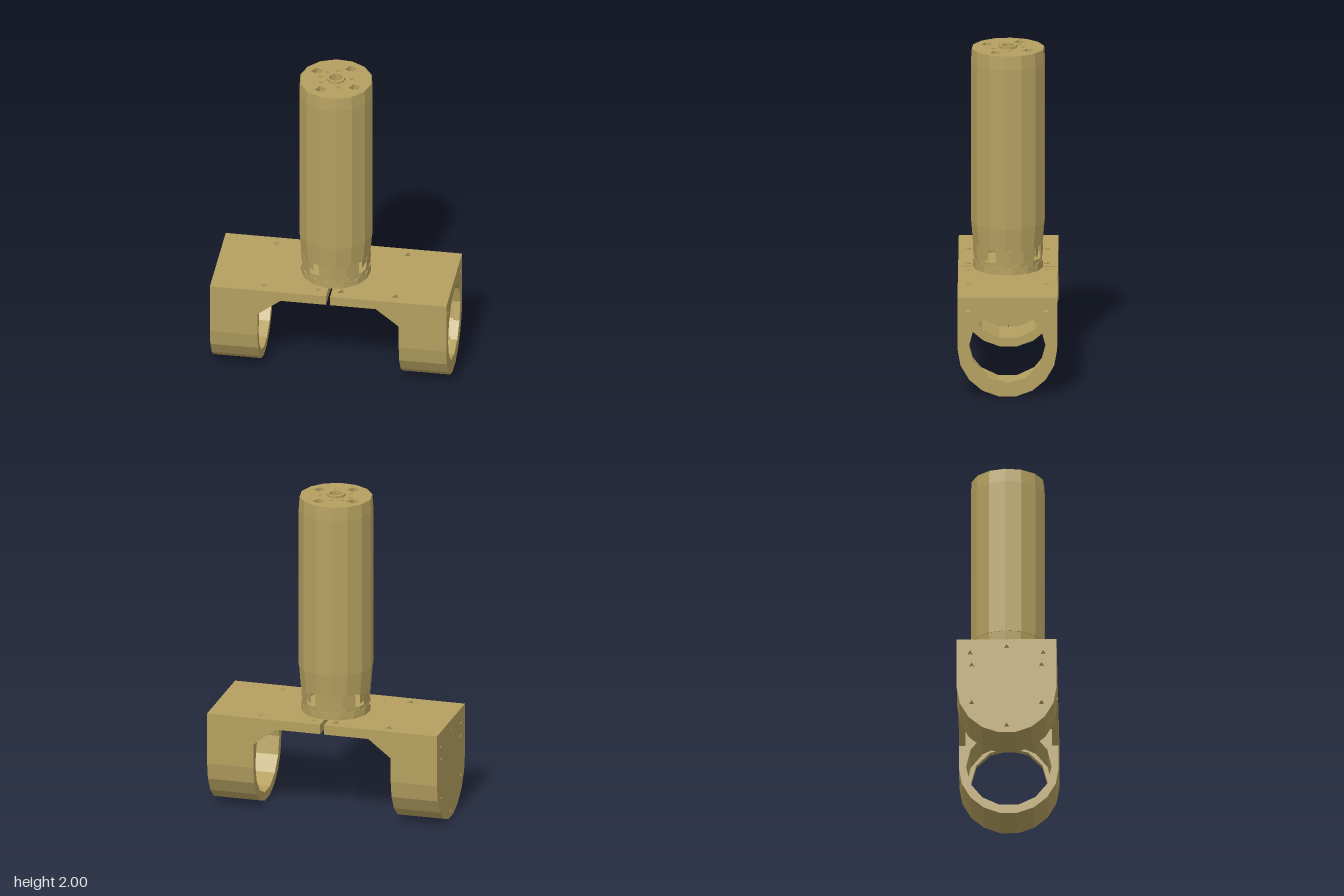
import * as THREE from 'three';

const material = new THREE.MeshStandardMaterial({ color: 0xb5a060, flatShading: true, side: THREE.DoubleSide });

function part(parent, name, geometry) {
  const mesh = new THREE.Mesh(geometry, material);
  mesh.name = name;
  parent.add(mesh);
  return mesh;
}

// Regular polygon outline, used for discs and drilled holes
function ngon(Type, cx, cy, r, n, turn = 0) {
  const pts = [];
  for (let i = 0; i < n; i++) {
    const a = turn + (i / n) * Math.PI * 2;
    pts.push(new THREE.Vector2(cx + r * Math.cos(a), cy + r * Math.sin(a)));
  }
  return new Type(pts);
}
const hole = (cx, cy, r, n, turn) => ngon(THREE.Path, cx, cy, r, n, turn);

function extrude(shape, depth) {
  return new THREE.ExtrudeGeometry(shape, { depth, bevelEnabled: false });
}

// Horizontal slab: the shape's y becomes -z
function slab(shape, y, depth) {
  return extrude(shape, depth).rotateX(-Math.PI / 2).translate(0, y, 0);
}

// Leg outline: square at the top, rounded at the bottom
function legShape() {
  const pts = [new THREE.Vector2(0.3, 0.62), new THREE.Vector2(-0.3, 0.62)];
  for (let i = 0; i <= 9; i++) {
    const a = Math.PI + (i / 9) * Math.PI;
    pts.push(new THREE.Vector2(0.3 * Math.cos(a), 0.3 + 0.3 * Math.sin(a)));
  }
  return new THREE.Shape(pts);
}

// One half of the clamp bracket, reaching along +z
function bracketHalf(open) {
  const half = new THREE.Group();

  // Top plate with screw holes; a narrow slit stays open at z = 0
  const plate = new THREE.Shape([[-0.3, -0.012], [-0.3, -0.46], [0.3, -0.46], [0.3, -0.012]]
    .map(([x, y]) => new THREE.Vector2(x, y)));
  plate.holes.push(hole(0, 0 - 0.06, 0.035, 6));
  for (const x of [-0.235, 0.235]) {
    plate.holes.push(hole(x, -0.07, 0.026, 3), hole(x, -0.4, 0.026, 3));
  }
  part(half, 'topPlate', slab(plate, 0.56, 0.06));

  // Leg with a round pocket
  const body = legShape();
  body.holes.push(hole(0, 0.31, 0.257, 14));
  part(half, 'legShell', extrude(body, 0.25)).position.z = 0.43;

  // End panel, with a large opening on one end only
  const end = legShape();
  if (open) end.holes.push(hole(0, 0.32, 0.23, 12));
  const screws = open
    ? [[0.235, 0.54], [-0.235, 0.54]]
    : [[0.22, 0.53], [-0.22, 0.53], [0, 0.57], [0.21, 0.45], [-0.21, 0.45], [0.21, 0.2], [-0.21, 0.2], [0, 0.05]];
  for (const [x, y] of screws) end.holes.push(hole(x, y, 0.018, 3, Math.PI / 2));
  part(half, 'endPanel', extrude(end, 0.04)).position.z = 0.68;

  // Curved gussets along both sides, under the plate
  const gusset = new THREE.Shape();
  gusset.moveTo(0.29, 0.57);
  gusset.lineTo(0.45, 0.57);
  gusset.lineTo(0.45, 0.38);
  gusset.lineTo(0.43, 0.45);
  gusset.lineTo(0.29, 0.56);
  for (const x of [-0.3, 0.26]) {
    const geometry = extrude(gusset, 0.04).rotateY(-Math.PI / 2).translate(0.04, 0, 0);
    part(half, 'gusset', geometry).position.x = x;
  }
  return half;
}

// Hollow turned section, with an optional arc
function shell(points, start = 0, length = Math.PI * 2, sides = 14) {
  const profile = points.map(([r, y]) => new THREE.Vector2(r, y));
  profile.push(profile[0].clone());
  return new THREE.LatheGeometry(profile, sides, start, length);
}

export function createModel() {
  const model = new THREE.Group();

  // Bracket: two mirrored halves, turned against the tube
  const bracket = new THREE.Group();
  bracket.name = 'bracket';
  bracket.rotation.y = Math.PI / 6;
  for (const open of [true, false]) {
    const half = bracketHalf(open);
    half.name = open ? 'openLeg' : 'closedLeg';
    if (!open) half.rotation.y = Math.PI;
    bracket.add(half);
  }
  model.add(bracket);

  const tube = new THREE.Group();
  tube.name = 'tube';
  model.add(tube);

  // Foot flange
  const flange = ngon(THREE.Shape, 0, 0, 0.21, 14);
  flange.holes.push(hole(0, 0, 0.05, 8));
  part(tube, 'footFlange', slab(flange, 0.62, 0.045));

  // Neck: solid rings above and below four windows
  part(tube, 'neckLower', shell([[0.18, 0.66], [0.207, 0.66], [0.208, 0.69], [0.18, 0.69]]));
  part(tube, 'neckUpper', shell([[0.18, 0.77], [0.212, 0.77], [0.224, 0.92], [0.18, 0.92]]));
  const gap = 0.17;
  for (let i = 0; i < 4; i++) {
    const wall = shell([[0.18, 0.69], [0.208, 0.69], [0.212, 0.77], [0.18, 0.77]],
      i * Math.PI / 2 + gap, Math.PI / 2 - 2 * gap, 3);
    part(tube, 'neckWall', wall);
  }

  // Main barrel
  part(tube, 'barrel', shell([[0.19, 0.91], [0.226, 0.91], [0.226, 1.9], [0.22, 1.985], [0.19, 1.985]]));

  // Top cap with screw holes over a blind floor
  const cap = ngon(THREE.Shape, 0, 0, 0.21, 14);
  cap.holes.push(hole(0, 0, 0.04, 8));
  for (let i = 0; i < 4; i++) {
    const a = i * Math.PI / 2;
    cap.holes.push(hole(0.145 * Math.cos(a), 0.145 * Math.sin(a), 0.038, 4, a + Math.PI / 4));
  }
  for (const deg of [30, 70, 110, 150, 230, 310]) {
    const a = deg * Math.PI / 180;
    cap.holes.push(hole(0.095 * Math.cos(a), 0.095 * Math.sin(a), 0.013, 5));
  }
  part(tube, 'topCap', slab(cap, 1.95, 0.035));
  const floor = ngon(THREE.Shape, 0, 0, 0.2, 14);
  floor.holes.push(hole(0, 0, 0.04, 8));
  part(tube, 'capFloor', slab(floor, 1.93, 0.01));

  // Raised collar around the centre bore
  part(tube, 'collar', shell([[0.04, 1.95], [0.058, 1.95], [0.058, 2], [0.04, 2]], 0, Math.PI * 2, 8));

  return model;
}
